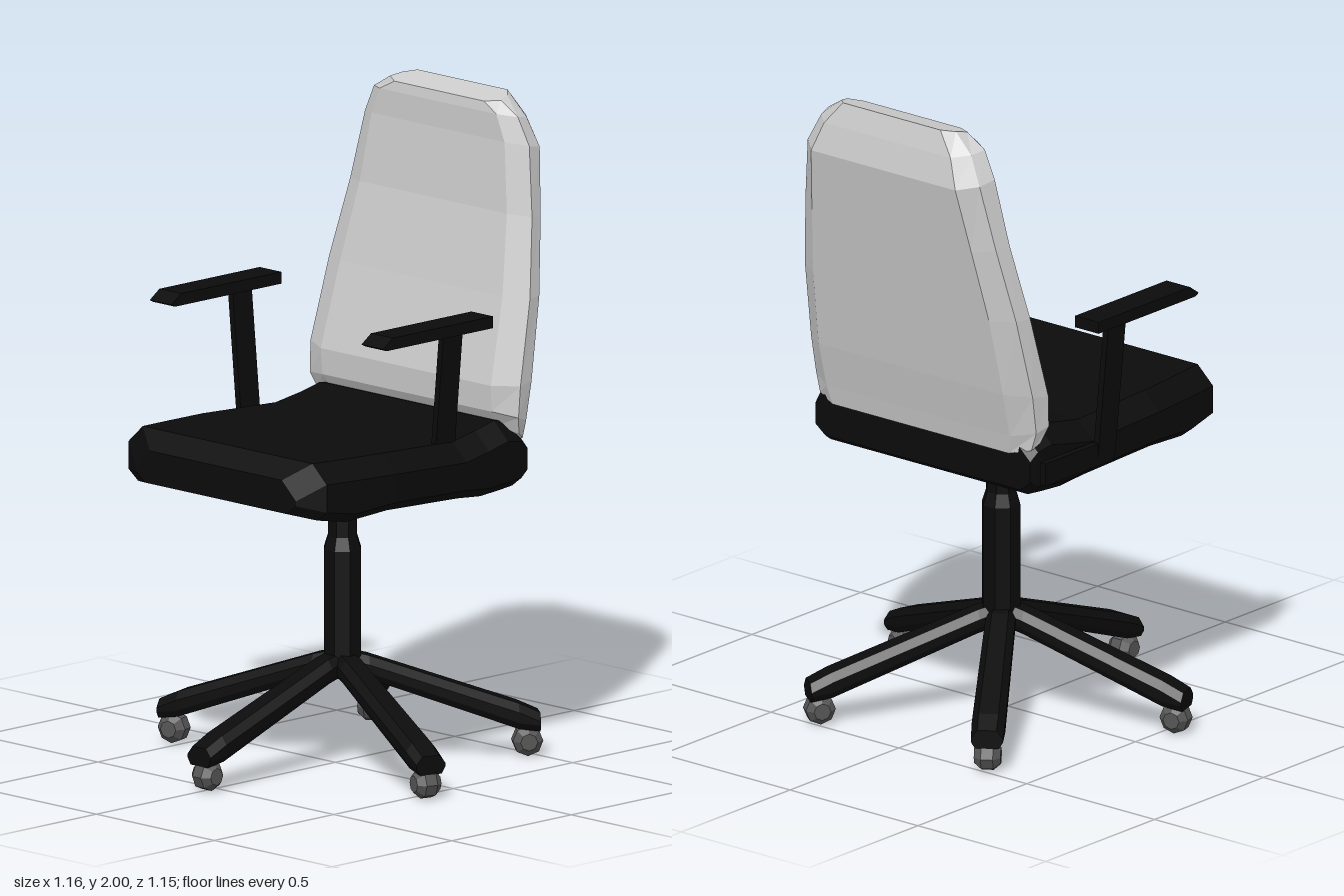
import * as THREE from 'three';

const paint = (color) => new THREE.MeshStandardMaterial({ color, flatShading: true });
const black = paint(0x0b0b0b);
const grey = paint(0xcccccc);
const wheelGrey = paint(0x555555);

// Skins a row of equal-length rings of [x, y, z] and caps both ends.
function loft(rings) {
  const n = rings[0].length;
  const tris = [];
  for (let i = 0; i < rings.length - 1; i++) {
    for (let j = 0; j < n; j++) {
      const k = (j + 1) % n;
      const a = rings[i][j], b = rings[i][k], c = rings[i + 1][k], d = rings[i + 1][j];
      tris.push([a, b, c], [a, c, d]);
    }
  }
  const first = rings[0], last = rings[rings.length - 1];
  for (let j = 1; j < n - 1; j++) {
    tris.push([first[0], first[j + 1], first[j]], [last[0], last[j], last[j + 1]]);
  }
  // Turn every face outwards, whichever way the rings run
  let volume = 0;
  const va = new THREE.Vector3(), vb = new THREE.Vector3(), vc = new THREE.Vector3();
  for (const [a, b, c] of tris) volume += va.set(...a).dot(vb.set(...b).cross(vc.set(...c)));
  if (volume < 0) tris.forEach((t) => t.reverse());
  const geometry = new THREE.BufferGeometry();
  geometry.setAttribute('position', new THREE.Float32BufferAttribute(tris.flat(2), 3));
  geometry.computeVertexNormals();
  return geometry;
}

// Completes a ring from its +x half
const mirrorRing = (half) => [...half, ...half.slice().reverse().map(([x, y, z]) => [-x, y, z])];

function add(parent, name, geometry, material) {
  const mesh = new THREE.Mesh(geometry, material);
  mesh.name = name;
  parent.add(mesh);
  return mesh;
}

// Seat cushion: sections from front to back, [z, bottom, top, half width]
function seatGeometry() {
  const sections = [
    [0.5, 0.885, 0.985, 0.34],
    [0.45, 0.87, 1.04, 0.42],
    [0.34, 0.85, 1.037, 0.43],
    [0.18, 0.862, 1.033, 0.44],
    [-0.12, 0.85, 1.02, 0.435],
    [-0.22, 0.84, 1.037, 0.43],
    [-0.3, 0.845, 1.055, 0.428],
    [-0.36, 0.85, 1.045, 0.425],
    [-0.39, 0.87, 1.02, 0.42],
  ];
  return loft(sections.map(([z, bottom, top, w]) => mirrorRing([
    [w - 0.04, bottom, z], [w, bottom + 0.03, z], [w, top - 0.055, z], [w - 0.06, top, z],
  ])));
}

// Backrest: sections going up, [front y, front z, back y, back z, half width]
function backrestGeometry() {
  const sections = [
    [1.03, -0.33, 0.98, -0.4, 0.425],
    [1.08, -0.3, 1.04, -0.412, 0.442],
    [1.16, -0.295, 1.18, -0.445, 0.445],
    [1.42, -0.36, 1.42, -0.49, 0.425],
    [1.66, -0.41, 1.64, -0.533, 0.385],
    [1.87, -0.43, 1.84, -0.572, 0.348],
    [1.95, -0.43, 1.93, -0.553, 0.305],
    [1.98, -0.435, 2.0, -0.533, 0.235],
  ];
  return loft(sections.map(([yf, zf, yb, zb, w]) => {
    const between = (x, t) => [x, yf + (yb - yf) * t, zf + (zb - zf) * t];
    const inset = w * 0.19;
    return mirrorRing([
      between(w - inset, 0), between(w, 0.27), between(w - 0.012, 0.66), between(w - inset, 1),
    ]);
  }));
}

// Base leg running along +z: sections [distance, bottom, top, half width]
function legGeometry() {
  const sections = [
    [0.02, 0.27, 0.34, 0.042],
    [0.08, 0.255, 0.325, 0.045],
    [0.53, 0.088, 0.165, 0.05],
    [0.595, 0.078, 0.135, 0.048],
  ];
  return loft(sections.map(([z, bottom, top, w]) => mirrorRing([
    [w - 0.012, bottom, z], [w, bottom + 0.02, z], [w, top - 0.025, z], [w - 0.02, top, z],
  ])));
}

// Arm rest whose post leans outwards to the given side
function armRest(name, side, padX, padY) {
  const arm = new THREE.Group();
  arm.name = name;

  // Pad with a wedge-shaped front
  const outline = [[0.24, 0.005], [0.2, 0.033], [-0.22, 0.033], [-0.22, -0.003], [0.225, -0.003]];
  const padRing = (x) => outline.map(([z, y]) => [x, padY + y, z]);
  add(arm, 'armPad', loft([padRing(padX - 0.046), padRing(padX + 0.046)]), black);

  // Leaning flat post
  const footX = padX - side * 0.045;
  const postRing = (x, y) => [
    [x - 0.01, y, -0.13], [x + 0.01, y, -0.13], [x + 0.01, y, -0.05], [x - 0.01, y, -0.05],
  ];
  add(arm, 'armPost', loft([postRing(footX, 0.9), postRing(padX, padY + 0.01)]), black);

  // Mounting bar along the seat
  const bar = add(arm, 'armBar', new THREE.BoxGeometry(0.022, 0.07, 0.31), black);
  bar.position.set(footX, 0.93, -0.215);
  return arm;
}

export function createModel() {
  const chair = new THREE.Group();
  chair.name = 'officeChair';

  add(chair, 'seat', seatGeometry(), black);
  add(chair, 'backrest', backrestGeometry(), grey);
  chair.add(armRest('rightArmRest', -1, -0.497, 1.357));
  chair.add(armRest('leftArmRest', 1, 0.4, 1.365));

  // Gas column: wide sleeve, shoulder and slim upper tube
  const column = add(chair, 'column', new THREE.LatheGeometry([
    [0, 0.26], [0.05, 0.26], [0.06, 0.31], [0.06, 0.65], [0.047, 0.69], [0.047, 0.87], [0, 0.87],
  ].map(([r, y]) => new THREE.Vector2(r, y)), 8), black);
  column.rotation.y = Math.PI / 8;
  column.position.z = -0.03;

  // Five-star base with a caster under each leg
  const leg = legGeometry();
  const wheel = new THREE.LatheGeometry([
    [0, -0.04], [0.026, -0.04], [0.046, -0.018], [0.046, 0.018], [0.026, 0.04], [0, 0.04],
  ].map(([r, y]) => new THREE.Vector2(r, y)), 8);
  for (let i = 0; i < 5; i++) {
    const arm = new THREE.Group();
    arm.name = 'baseLeg' + (i + 1);
    arm.position.z = -0.025;
    arm.rotation.y = (i * Math.PI * 2) / 5;
    add(arm, 'leg', leg, black);
    const caster = add(arm, 'caster', wheel, wheelGrey);
    caster.rotation.z = Math.PI / 2;
    caster.position.set(0, 0.046, 0.56);
    const stem = add(arm, 'casterStem', new THREE.CylinderGeometry(0.018, 0.018, 0.06, 6), wheelGrey);
    stem.position.set(0, 0.09, 0.56);
    chair.add(arm);
  }
  return chair;
}
